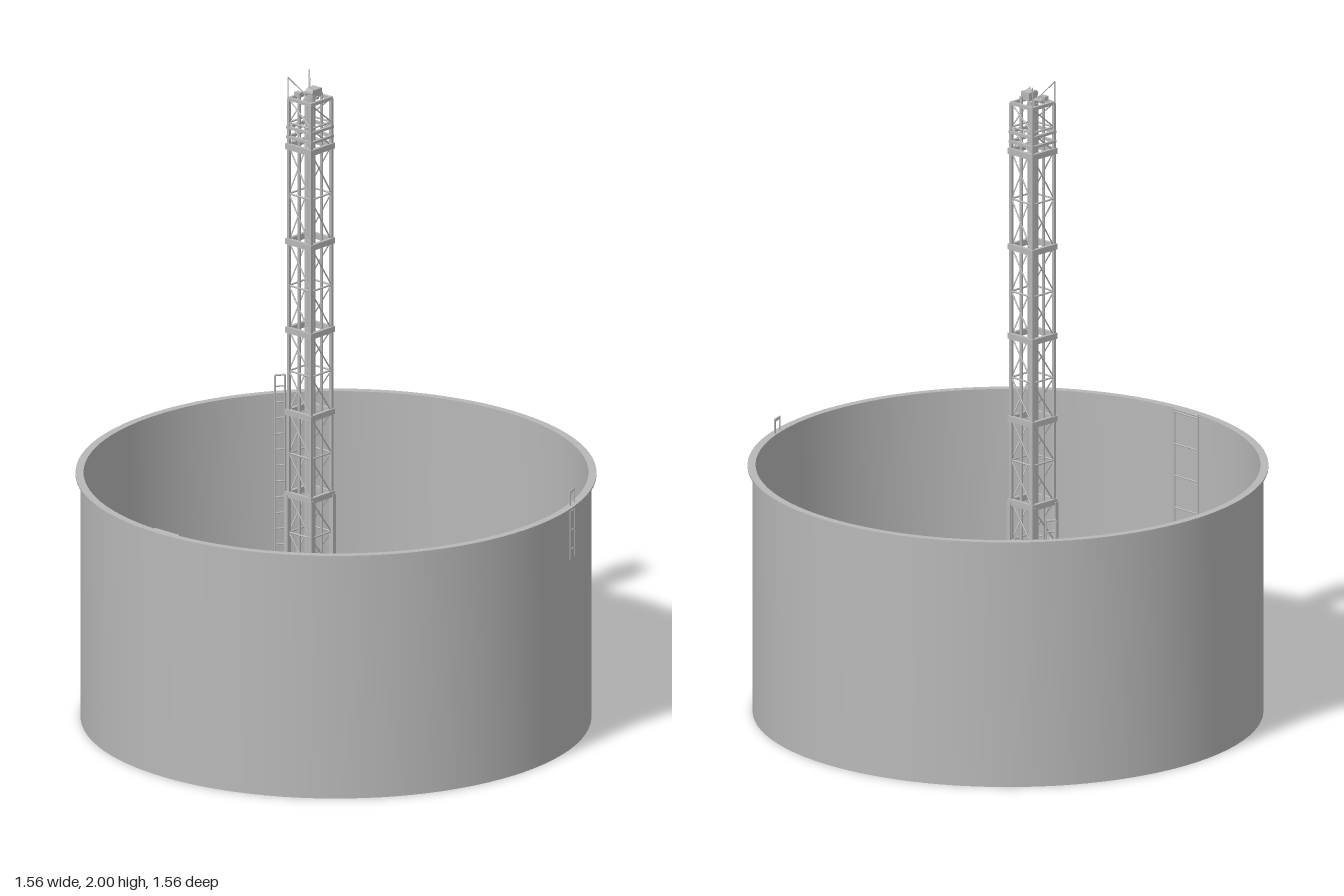
import * as THREE from 'three';
import { toCreasedNormals } from 'three/addons/utils/BufferGeometryUtils.js';

const grey = new THREE.MeshStandardMaterial({ color: 0xb8b8b8 });
grey.name = 'steel grey';

function add(parent, name, geometry, x = 0, y = 0, z = 0) {
  const mesh = new THREE.Mesh(geometry, grey);
  mesh.name = name;
  mesh.position.set(x, y, z);
  parent.add(mesh);
  return mesh;
}

const box = (parent, name, w, h, d, x, y, z) =>
  add(parent, name, new THREE.BoxGeometry(w, h, d), x, y, z);

// Round bar between two points
function bar(parent, name, a, b, r) {
  const from = new THREE.Vector3(...a), to = new THREE.Vector3(...b);
  const dir = to.clone().sub(from);
  const mesh = add(parent, name, new THREE.CylinderGeometry(r, r, dir.length(), 8));
  mesh.position.copy(from).add(to).multiplyScalar(0.5);
  mesh.quaternion.setFromUnitVectors(new THREE.Vector3(0, 1, 0), dir.normalize());
}

// Hollow square collar lying flat
function collar(parent, name, half, wall, h, y) {
  for (const s of [-1, 1]) {
    box(parent, name, half * 2, h, wall, 0, y, s * (half - wall / 2));
    box(parent, name, wall, h, (half - wall) * 2, s * (half - wall / 2), y, 0);
  }
}

// Open tank with a flanged rim
function tank() {
  const profile = [[0, 0], [0.765, 0], [0.765, 0.766], [0.78, 0.766], [0.78, 0.772],
    [0.756, 0.772], [0.756, 0.012], [0, 0.012]].map(p => new THREE.Vector2(...p));
  return toCreasedNormals(new THREE.LatheGeometry(profile, 96), 0.5);
}

// Grid of storage blocks, some with lifting handles
function blocks() {
  const group = new THREE.Group();
  group.name = 'storageBlocks';
  const rows = [[-1, 0, 1], [-2, -1, 0, 1, 2], [-3, -2, -1, 1], [-3, -2, 2, 3],
    [-3, -2, -1, 0, 1, 2, 3], [-2, -1, 0, 1, 2], [-1, 0, 1]];
  const step = 0.1815, top = 0.235;
  rows.forEach((cols, i) => {
    const z = (i - 3) * step;
    for (const c of cols) {
      const x = c * step;
      box(group, 'storageBlock', 0.151, top - 0.01, 0.151, x, (top + 0.01) / 2, z);
      if (Math.abs(c) > 1) continue;
      for (const s of c === 1 ? [1] : [-1, 1])
        box(group, 'blockHandle', 0.006, 0.01, 0.058, x + s * 0.06, top + 0.005, z);
    }
  });
  return group;
}

// Wall ladder: two rails and rungs, local z points to the tank centre
function ladder(x, z, width, y0, y1, step) {
  const group = new THREE.Group();
  group.name = 'wallLadder';
  group.position.set(x, 0, z);
  group.rotation.y = Math.atan2(-x, -z);
  const h = width / 2;
  for (const s of [-1, 1]) bar(group, 'ladderRail', [s * h, y0, 0], [s * h, y1, 0], 0.003);
  for (let y = y0 + step / 2; y < y1; y += step)
    bar(group, 'ladderRung', [-h, y, 0], [h, y, 0], 0.0025);
  bar(group, 'ladderTop', [-h, y1, 0], [h, y1, 0], 0.003);
  return group;
}

// Lattice mast
function mast() {
  const group = new THREE.Group();
  group.name = 'latticeMast';
  group.position.set(-0.105, 0, 0);
  const p = 0.045, base = 0.012, top = 1.93;
  const corners = [[-p, p], [p, p], [p, -p], [-p, -p]];
  const collars = [0.2, 0.44, 0.68, 0.94, 1.2, 1.48, 1.78, 1.93];
  for (const [x, z] of corners) {
    box(group, 'mastPost', 0.009, top - base, 0.009, x, (top + base) / 2, z);
    // Heavier guide posts around the foot
    box(group, 'footPost', 0.014, 0.67, 0.014, x * 1.07, 0.345, z * 1.07);
  }
  // Bracing on the four sides of each bay
  let low = base;
  collars.forEach((high, i) => {
    const mid = (low + high) / 2;
    corners.forEach(([x, z], k) => {
      const [nx, nz] = corners[(k + 1) % 4];
      bar(group, 'mastCrossbar', [x, mid, z], [nx, mid, nz], 0.003);
      bar(group, 'mastBrace', [x, high, z], [nx, mid, nz], 0.0022);
      bar(group, 'mastBrace', [x, mid, z], [nx, low, nz], 0.0022);
    });
    if (i < collars.length - 1) collar(group, 'mastCollar', 0.053, 0.011, 0.018, high);
    low = high;
  });
  collar(group, 'upperCollar', 0.051, 0.009, 0.008, 1.84);
  collar(group, 'upperCollar', 0.051, 0.009, 0.008, 1.81);
  collar(group, 'topFrame', 0.048, 0.008, 0.01, 1.93);

  // Inner guide tubes and lifting column
  for (const [x, z, r] of [[-0.026, 0.02, 0.005], [-0.026, -0.02, 0.005],
    [0.022, 0.018, 0.012], [0.026, -0.022, 0.005]])
    bar(group, 'guideTube', [x, base, z], [x, 1.95, z], r);
  box(group, 'liftColumn', 0.018, 1.92, 0.018, -0.006, 0.97, 0);

  // Winch and fittings on the head
  box(group, 'headPlate', 0.07, 0.008, 0.012, 0, 1.94, 0.005);
  box(group, 'headPlate', 0.012, 0.008, 0.06, -0.02, 1.94, 0);
  box(group, 'winchHousing', 0.034, 0.025, 0.024, 0.012, 1.953, -0.008);
  box(group, 'controlBox', 0.022, 0.014, 0.016, -0.022, 1.945, 0.027);
  const drum = add(group, 'winchDrum', new THREE.CylinderGeometry(0.012, 0.012, 0.03, 16), 0.016, 1.955, 0.012);
  drum.rotation.z = Math.PI / 2;
  for (const s of [-1, 1]) {
    bar(group, 'headRod', [-0.047, 1.998, s * 0.047], [-0.01, 1.945, s * 0.012], 0.002);
    bar(group, 'headStay', [-0.047, 1.78, s * 0.047], [-0.047, 1.998, s * 0.047], 0.002);
  }
  bar(group, 'headRod', [0.034, 1.97, 0.02], [0.01, 1.94, 0.01], 0.002);
  return group;
}

export function createModel() {
  const model = new THREE.Group();
  model.name = 'tankWithMast';
  add(model, 'tank', tank());
  model.add(blocks(), mast());
  model.add(ladder(0, 0.75, 0.1, 0.012, 0.77, 0.1));
  model.add(ladder(-0.62, -0.43, 0.03, 0.27, 0.83, 0.05));
  model.add(ladder(0.718, -0.262, 0.034, 0.6, 0.815, 0.06));
  return model;
}
